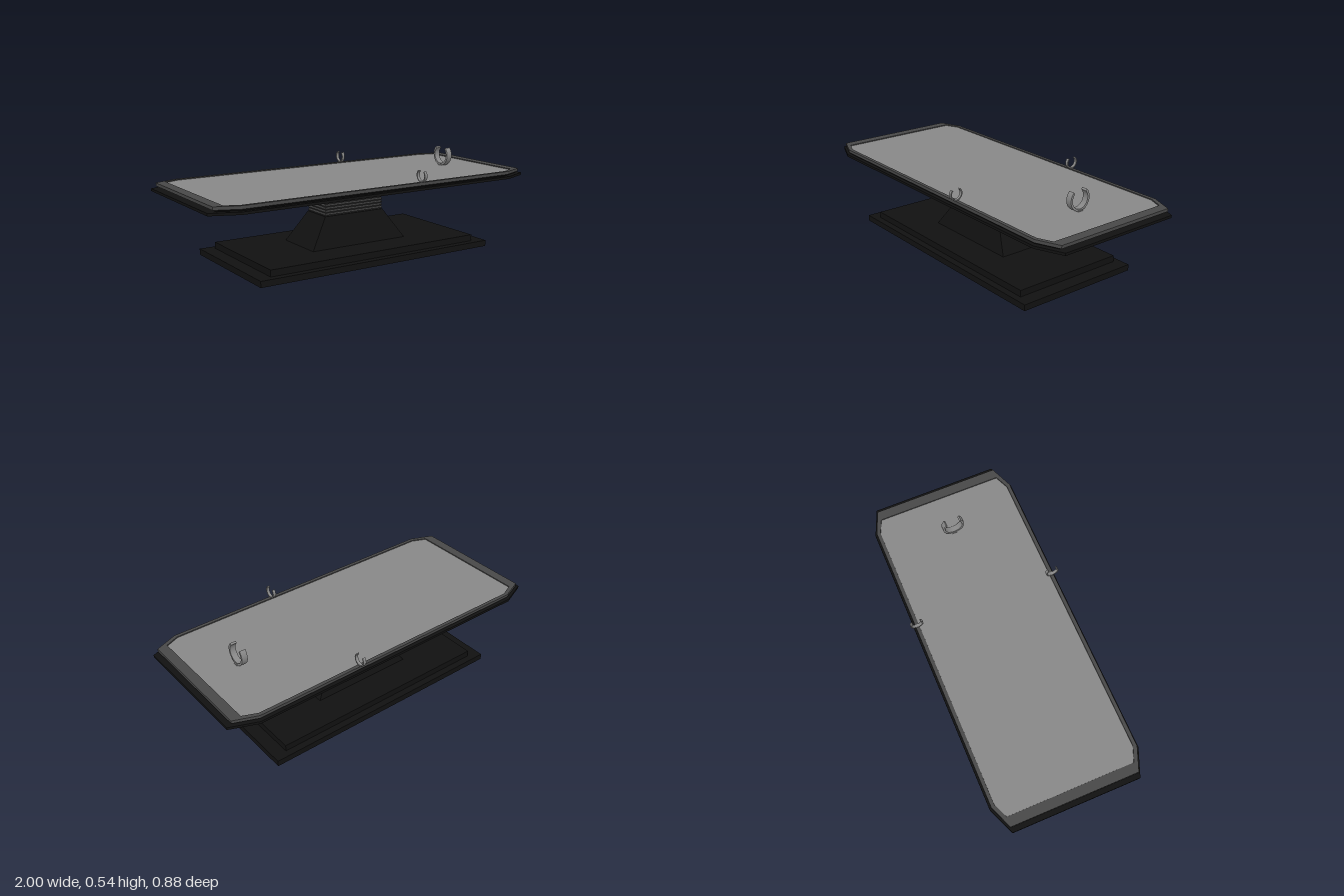
import * as THREE from 'three';

const material = (color) => new THREE.MeshStandardMaterial({ color, flatShading: true });
const black = material(0x111111);
const charcoal = material(0x3a3a3a);
const rimGrey = material(0x484848);
const grey = material(0x888888);

// Cross-section loops in the xz plane
const rect = (x, z) => [[x, -z], [x, z], [-x, z], [-x, -z]];
const octagon = (x, z, cx, cz) => [
  [x, -cz], [x, cz], [cx, z], [-cx, z], [-x, cz], [-x, -cz], [-cx, -z], [cx, -z],
];

// Skins a stack of [y, loop] sections and closes both ends
function loft(name, mat, sections) {
  const points = [];
  const at = (s, k) => {
    const [y, loop] = sections[s];
    const [x, z] = loop[k % loop.length];
    return [x, y, z];
  };
  const tri = (a, b, c) => points.push(...a, ...b, ...c);
  const n = sections[0][1].length;
  const last = sections.length - 1;
  for (let s = 0; s < last; s++) {
    for (let k = 0; k < n; k++) {
      tri(at(s, k), at(s + 1, k), at(s, k + 1));
      tri(at(s, k + 1), at(s + 1, k), at(s + 1, k + 1));
    }
  }
  for (let k = 1; k < n - 1; k++) {
    tri(at(0, 0), at(0, k), at(0, k + 1));
    tri(at(last, 0), at(last, k + 1), at(last, k));
  }
  const geometry = new THREE.BufferGeometry();
  geometry.setAttribute('position', new THREE.Float32BufferAttribute(points, 3));
  geometry.computeVertexNormals();
  const mesh = new THREE.Mesh(geometry, mat);
  mesh.name = name;
  return mesh;
}

// C-shaped clip, open at the top, lying in the yz plane
function clip(name, outer, inner, width, x, y, z) {
  const start = Math.PI * 0.75;
  const end = Math.PI * 2.25;
  const shape = new THREE.Shape();
  shape.absarc(0, 0, outer, start, end, false);
  shape.absarc(0, 0, inner, end, start, true);
  const geometry = new THREE.ExtrudeGeometry(shape, { depth: width, bevelEnabled: false, curveSegments: 28 });
  geometry.translate(0, 0, -width / 2).rotateY(Math.PI / 2);
  const mesh = new THREE.Mesh(geometry, grey);
  mesh.name = name;
  mesh.position.set(x, y, z);
  return mesh;
}

export function createModel() {
  const model = new THREE.Group();
  model.name = 'pedestalTable';

  // Stepped floor base and tapered pedestal
  model.add(
    loft('basePlate', black, [[0, rect(0.733, 0.366)], [0.034, rect(0.733, 0.366)]]),
    loft('baseStep', black, [[0.034, rect(0.657, 0.328)], [0.07, rect(0.657, 0.328)]]),
    loft('pedestal', black, [[0.07, rect(0.303, 0.15)], [0.237, rect(0.19, 0.093)]]),
  );

  // Pleated bellows column
  const pleats = 7;
  const bottom = 0.237;
  const pitch = (0.353 - bottom) / pleats;
  const folds = [];
  for (let i = 0; i <= pleats * 2; i++) {
    const inset = i % 2 ? 0 : 0.006;
    folds.push([bottom + (i * pitch) / 2, rect(0.19 - inset, 0.092 - inset)]);
  }
  model.add(loft('bellows', charcoal, folds));

  // Support head with sloped underside
  model.add(loft('supportHead', black, [
    [0.353, rect(0.23, 0.09)], [0.37, rect(0.23, 0.265)], [0.391, rect(0.23, 0.265)],
  ]));

  // Table slab, undercut, raised rim and inset panel
  model.add(
    loft('tableSlab', black, [
      [0.393, octagon(1, 0.422, 0.85, 0.36)], [0.407, octagon(1, 0.422, 0.85, 0.36)],
    ]),
    loft('rimUndercut', black, [
      [0.407, octagon(0.95, 0.4, 0.83, 0.35)], [0.418, octagon(0.973, 0.412, 0.845, 0.36)],
    ]),
    loft('tableRim', rimGrey, [
      [0.418, octagon(0.973, 0.412, 0.845, 0.36)],
      [0.435, octagon(0.973, 0.412, 0.845, 0.36)],
      [0.435, octagon(0.918, 0.392, 0.838, 0.358)],
      [0.428, octagon(0.918, 0.392, 0.838, 0.358)],
    ]),
    loft('topPanel', grey, [
      [0.428, octagon(0.917, 0.391, 0.837, 0.357)], [0.43, octagon(0.917, 0.391, 0.837, 0.357)],
    ]),
  );

  // Large clip on its foot, and a small clip on each long edge
  const foot = new THREE.Mesh(new THREE.BoxGeometry(0.044, 0.006, 0.03), grey);
  foot.name = 'clipFoot';
  foot.position.set(0.7, 0.432, 0);
  model.add(foot, clip('largeClip', 0.063, 0.051, 0.034, 0.7, 0.493, 0));
  for (const side of [1, -1]) {
    model.add(clip(side > 0 ? 'frontClip' : 'backClip', 0.036, 0.03, 0.017, 0.227, 0.471, side * 0.403));
  }
  return model;
}
